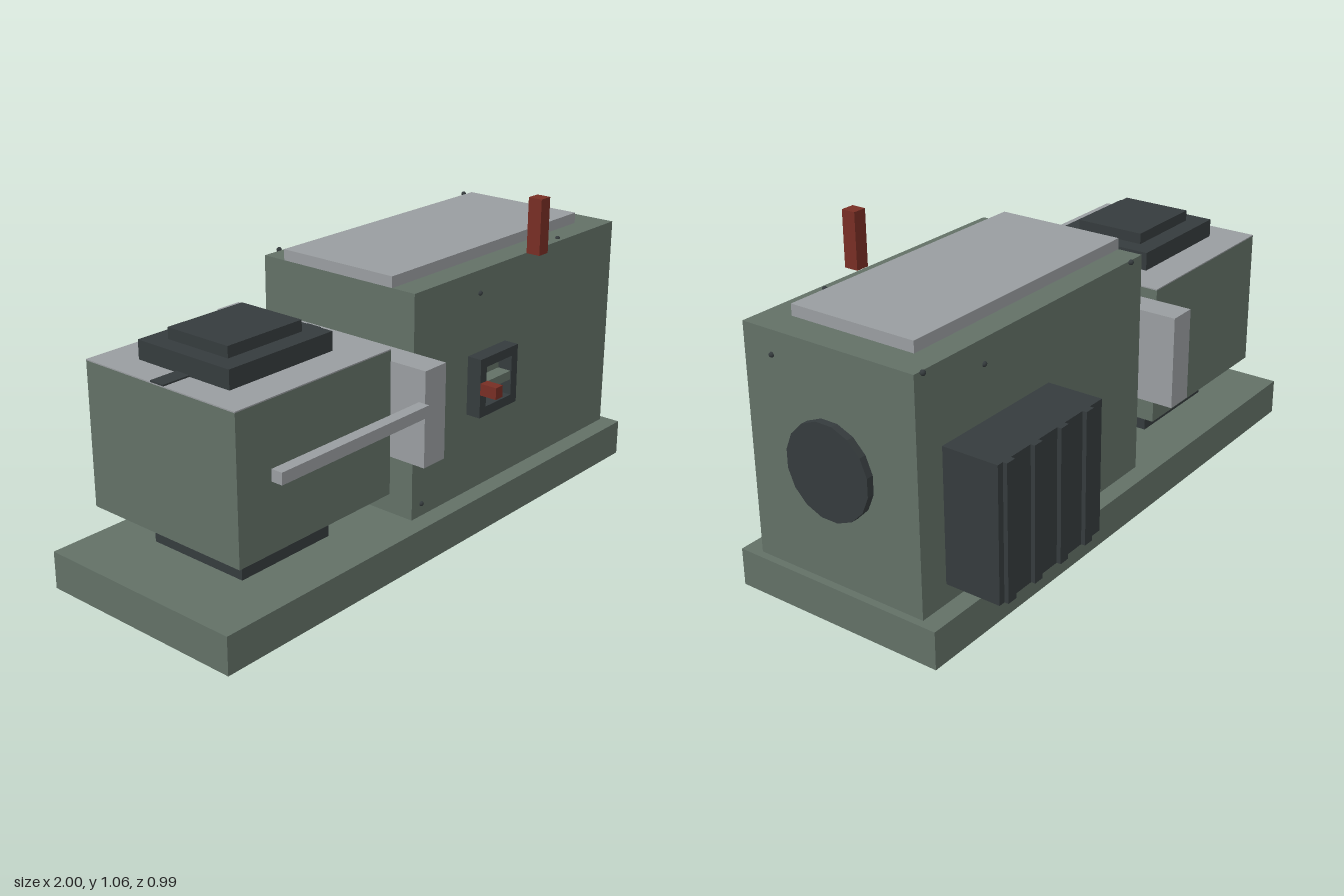
import * as THREE from 'three';

export function createModel() {
  const model = new THREE.Group();
  model.name = 'machine';

  const paint = (name, color) => {
    const m = new THREE.MeshStandardMaterial({ color });
    m.name = name;
    return m;
  };
  const green = paint('greenPaint', 0x627066);
  const grey = paint('lightGrey', 0x999da0);
  const dark = paint('darkSteel', 0x353b3d);
  const red = paint('redPaint', 0x772e24);

  const add = (name, geometry, material, x, y, z) => {
    const mesh = new THREE.Mesh(geometry, material);
    mesh.name = name;
    mesh.position.set(x, y, z);
    model.add(mesh);
    return mesh;
  };
  // Box given by its limits on each axis
  const box = (name, mat, [x0, x1], [y0, y1], [z0, z1]) =>
    add(name, new THREE.BoxGeometry(x1 - x0, y1 - y0, z1 - z0), mat,
      (x0 + x1) / 2, (y0 + y1) / 2, (z0 + z1) / 2);

  // Base and main housing
  box('base', green, [-1, 1], [0, 0.125], [-0.355, 0.395]);
  box('housing', green, [-0.127, 0.975], [0.125, 0.877], [-0.293, 0.332]);
  box('housingCover', grey, [-0.127, 0.87], [0.877, 0.914], [-0.206, 0.244]);
  box('signalLever', red, [0.449, 0.497], [0.877, 1.064], [0.334, 0.384]);

  // Work head on its pedestal
  box('pedestal', dark, [-0.752, -0.377], [0.125, 0.252], [-0.172, 0.204]);
  box('workHead', green, [-0.876, -0.227], [0.252, 0.724], [-0.293, 0.324]);
  box('workHeadTop', grey, [-0.876, -0.227], [0.724, 0.728], [-0.293, 0.324]);
  box('topStrip', dark, [-0.876, -0.227], [0.728, 0.733], [-0.013, 0.042]);
  box('lowerTier', dark, [-0.777, -0.352], [0.728, 0.79], [-0.174, 0.203]);
  box('upperTier', dark, [-0.717, -0.414], [0.79, 0.827], [-0.11, 0.138]);

  // Joining collar and hand rail
  box('collar', grey, [-0.227, -0.129], [0.378, 0.69], [-0.42, 0.457]);
  box('handRail', grey, [-0.876, -0.256], [0.565, 0.602], [0.457, 0.495]);

  // Rear cooling unit with upright ribs
  box('coolingUnit', dark, [0.375, 0.87], [0.19, 0.627], [-0.481, -0.293]);
  for (const x of [0.455, 0.58, 0.705, 0.83]) {
    box('coolingRib', dark, [x - 0.018, x + 0.018], [0.19, 0.627], [-0.495, -0.481]);
  }

  // Round end cap
  const cap = new THREE.CylinderGeometry(0.154, 0.154, 0.024, 16).toNonIndexed();
  cap.rotateX(0).rotateY(Math.PI / 16).rotateZ(-Math.PI / 2);
  cap.computeVertexNormals();
  add('endCap', cap, dark, 0.987, 0.502, 0.019);

  // Switch frame with an open middle, cross bar and handle
  const rect = (path, w, h) => path.moveTo(-w, -h).lineTo(w, -h).lineTo(w, h).lineTo(-w, h).closePath();
  const frame = rect(new THREE.Shape(), 0.1, 0.1);
  frame.holes.push(rect(new THREE.Path(), 0.068, 0.068));
  add('switchFrame', new THREE.ExtrudeGeometry(frame, { depth: 0.052, bevelEnabled: false }),
    dark, 0.248, 0.502, 0.332);
  box('switchBar', green, [0.18, 0.316], [0.487, 0.517], [0.332, 0.38]);
  box('switchHandle', red, [0.148, 0.184], [0.482, 0.522], [0.384, 0.445]);

  // Small screws on the housing faces
  const screwGeometry = new THREE.SphereGeometry(0.011, 8, 6);
  const screws = [
    [0.203, 0.8, 0.332], [-0.08, 0.168, 0.332], [0.68, 0.8, -0.293],
    [0.975, 0.8, 0.225], [-0.05, 0.877, -0.303], [0.95, 0.877, -0.303], [0.665, 0.877, 0.31],
  ];
  for (const [x, y, z] of screws) add('screw', screwGeometry, dark, x, y, z).scale.setScalar(0.8);

  return model;
}
